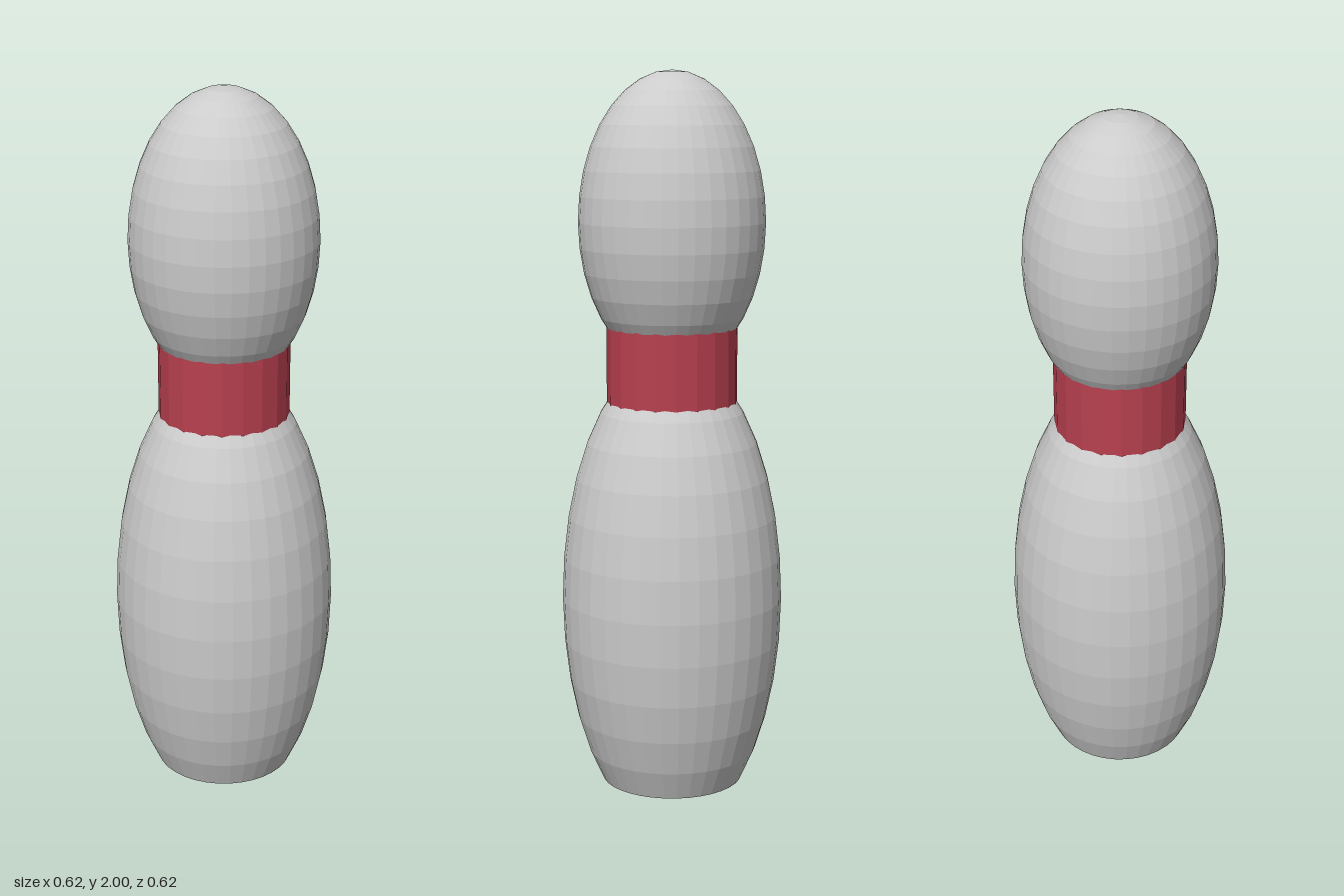
import * as THREE from 'three';

const STEP = THREE.MathUtils.degToRad(10);

// Outline of an ellipse between two latitudes, counted in 10-degree steps
function ellipseProfile(radius, halfHeight, from, to) {
  const points = [];
  for (let i = from; i <= to; i++) {
    const r = i === 9 ? 0 : radius * Math.cos(i * STEP);
    points.push(new THREE.Vector2(r, halfHeight * Math.sin(i * STEP)));
  }
  return points;
}

export function createModel() {
  const model = new THREE.Group();
  model.name = 'bowlingPin';
  const grey = new THREE.MeshStandardMaterial({ color: 0xcccccc, flatShading: true });
  const red = new THREE.MeshStandardMaterial({ color: 0xb8404f, flatShading: true });

  const add = (name, geometry, material, y) => {
    const mesh = new THREE.Mesh(geometry, material);
    mesh.name = name;
    mesh.position.y = y;
    model.add(mesh);
  };

  // Body: ellipsoid cut flat at the foot, closed by a base disc
  const bodyHalf = 0.694;
  const bodyProfile = ellipseProfile(0.31, bodyHalf, -5, 6);
  bodyProfile.unshift(new THREE.Vector2(0, bodyProfile[0].y));
  add('body', new THREE.LatheGeometry(bodyProfile, 36), grey, bodyHalf * Math.sin(5 * STEP));

  // Coloured neck band, its ends buried in body and head
  add('neckBand', new THREE.CylinderGeometry(0.182, 0.182, 0.26, 20, 1, true), red, 1.19);

  // Head: smaller ellipsoid, open inside the band
  const headProfile = ellipseProfile(0.258, 0.41, -6, 9);
  add('head', new THREE.LatheGeometry(headProfile, 36), grey, 1.59);

  return model;
}
